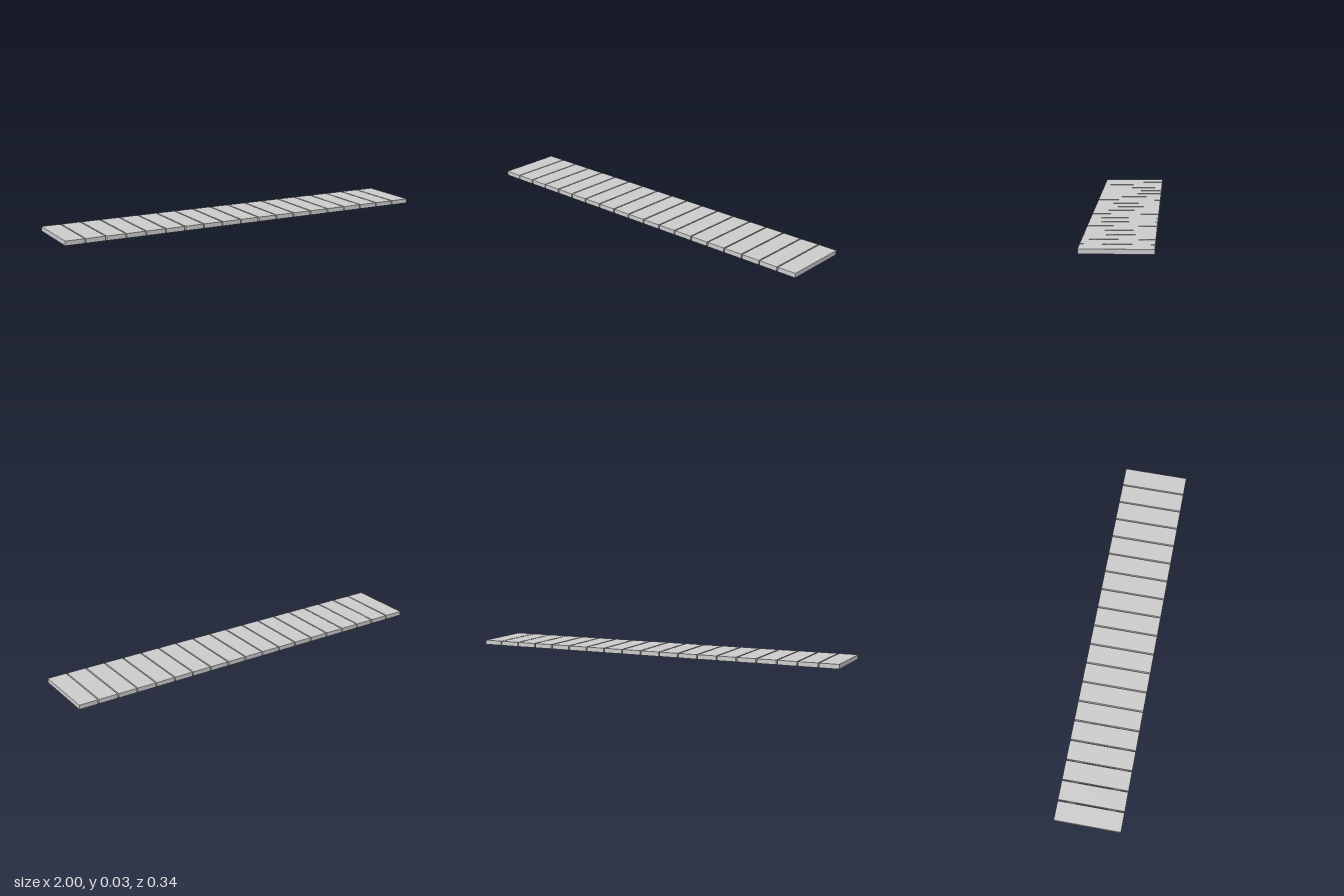
import * as THREE from 'three';

const material = new THREE.MeshStandardMaterial({ color: 0xcccccc, flatShading: true });

// Box given by its lower and upper corners
function box(name, x0, x1, y0, y1, z0, z1) {
  const mesh = new THREE.Mesh(new THREE.BoxGeometry(x1 - x0, y1 - y0, z1 - z0), material);
  mesh.position.set((x0 + x1) / 2, (y0 + y1) / 2, (z0 + z1) / 2);
  mesh.name = name;
  return mesh;
}

export function createModel() {
  const model = new THREE.Group();
  model.name = 'plankWalkway';

  // Row of cross planks with narrow gaps
  const planks = new THREE.Group();
  planks.name = 'planks';
  const count = 19, width = 0.099, pitch = (2 - width) / (count - 1);
  for (let i = 0; i < count; i++) {
    const x = -1 + i * pitch;
    planks.add(box(`plank${i + 1}`, x, x + width, 0.007, 0.03, -0.17, 0.17));
  }
  model.add(planks);

  // Two thin rails carrying the planks
  model.add(box('frontRail', -0.963, 0.941, 0, 0.007, 0.087, 0.129));
  model.add(box('backRail', -0.963, 0.941, 0, 0.007, -0.125, -0.083));

  return model;
}
